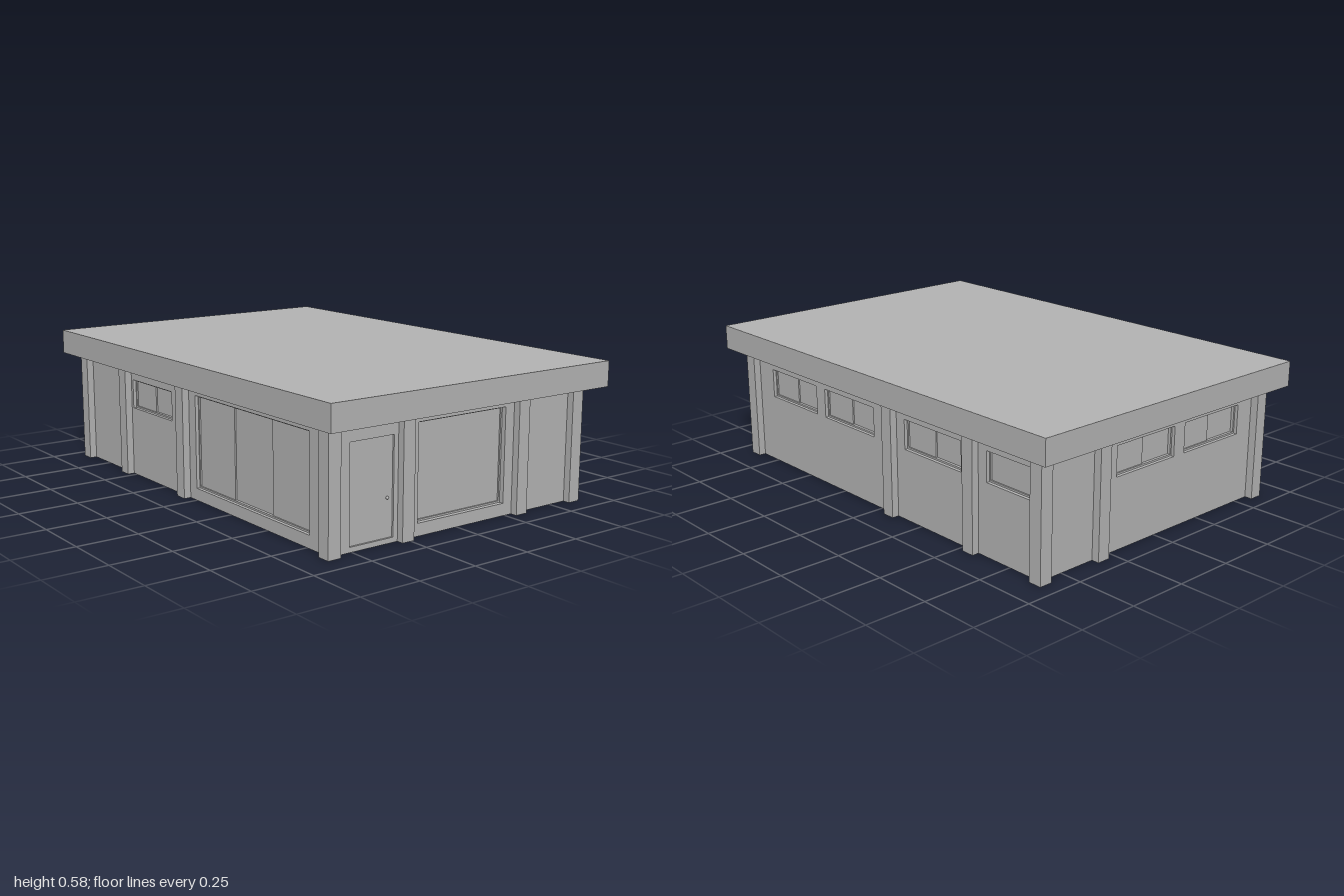
import * as THREE from 'three';

export function createModel() {
  const house = new THREE.Group();
  house.name = 'house';
  const grey = new THREE.MeshStandardMaterial({ color: 0xb2b2b2 });
  grey.name = 'plain grey';

  // box given by its lower and upper corners
  const box = (name, parent, x0, x1, y0, y1, z0, z1) => {
    const mesh = new THREE.Mesh(new THREE.BoxGeometry(x1 - x0, y1 - y0, z1 - z0), grey);
    mesh.position.set((x0 + x1) / 2, (y0 + y1) / 2, (z0 + z1) / 2);
    mesh.name = name;
    parent.add(mesh);
    return mesh;
  };

  // roof slab and floor
  box('roof', house, -0.68, 0.68, 0.475, 0.578, -1, 1);
  box('floor', house, -0.59, 0.6, 0.002, 0.02, -0.9, 0.88);

  // columns: all along the front, some along the back, two on each side
  const xs = [-0.5975, -0.2625, 0.3125, 0.6075];
  const spots = xs.map((x) => [x, 0.886]);
  for (const x of [xs[0], xs[2], xs[3]]) spots.push([x, -0.909]);
  for (const x of [xs[0], xs[3]]) for (const z of [-0.0775, -0.5525]) spots.push([x, z]);
  for (const [x, z] of spots) {
    box('column', house, x - 0.0275, x + 0.0275, 0, 0.476, z - 0.0285, z + 0.0285);
  }

  // wall with recessed openings; u runs to the right as seen from outside
  // opening: [name, u0, u1, y0, y1, recess, panes]
  const wall = (name, turn, distance, u0, u1, openings) => {
    const group = new THREE.Group();
    group.name = name;
    group.rotation.y = turn;
    const rectangle = (Type, a, b, c, d) => {
      const path = new Type();
      path.moveTo(a, c).lineTo(b, c).lineTo(b, d).lineTo(a, d).closePath();
      return path;
    };
    const shape = rectangle(THREE.Shape, u0 + 0.01, u1 - 0.01, 0, 0.476);
    for (const [part, a, b, c, d, recess, panes] of openings) {
      shape.holes.push(rectangle(THREE.Path, a, b, c, d));
      const width = (b - a) / panes;
      for (let i = 0; i < panes; i++) {
        // neighbouring panes slide past each other
        const front = distance - recess - (i % 2 ? 0.006 : 0);
        box(part, group, a + i * width, a + (i + 1) * width, c, d, front - 0.012, front);
      }
      // slim frame set back from the wall face
      if (recess > 0.015) {
        const f = 0.007, z1 = distance - recess + 0.006, z0 = z1 - 0.012;
        box(part + 'Frame', group, a, a + f, c, d, z0, z1);
        box(part + 'Frame', group, b - f, b, c, d, z0, z1);
        box(part + 'Frame', group, a + f, b - f, c, c + f, z0, z1);
        box(part + 'Frame', group, a + f, b - f, d - f, d, z0, z1);
      }
    }
    const geometry = new THREE.ExtrudeGeometry(shape, { depth: 0.04, bevelEnabled: false });
    geometry.translate(0, 0, distance - 0.04);
    const mesh = new THREE.Mesh(geometry, grey);
    mesh.name = name + 'Panel';
    group.add(mesh);
    house.add(group);
    return group;
  };
  const windowAt = (a, b, panes = 2) => ['window', a, b, 0.293, 0.415, 0.02, panes];

  const front = wall('frontWall', 0, 0.885, -0.595, 0.605, [
    ['door', -0.51, -0.31, 0.02, 0.4, 0.008, 1],
    ['garageDoor', -0.195, 0.24, 0.05, 0.43, 0.025, 1],
  ]);
  wall('leftWall', Math.PI / 2, 0.605, -0.885, 0.905, [
    windowAt(-0.755, -0.43), windowAt(-0.37, -0.04),
    windowAt(0.155, 0.485), windowAt(0.625, 0.85, 1),
  ]);
  wall('backWall', Math.PI, 0.905, -0.605, 0.595, [
    windowAt(-0.22, 0.1), windowAt(0.16, 0.485),
  ]);
  wall('rightWall', -Math.PI / 2, 0.595, -0.905, 0.885, [
    windowAt(-0.51, -0.185),
    ['slidingDoor', 0, 0.765, 0.05, 0.43, 0.02, 3],
  ]);

  // door knob
  const knob = new THREE.Mesh(new THREE.SphereGeometry(0.006, 12, 8), grey);
  knob.position.set(-0.335, 0.17, 0.88);
  knob.name = 'doorKnob';
  front.add(knob);

  return house;
}
